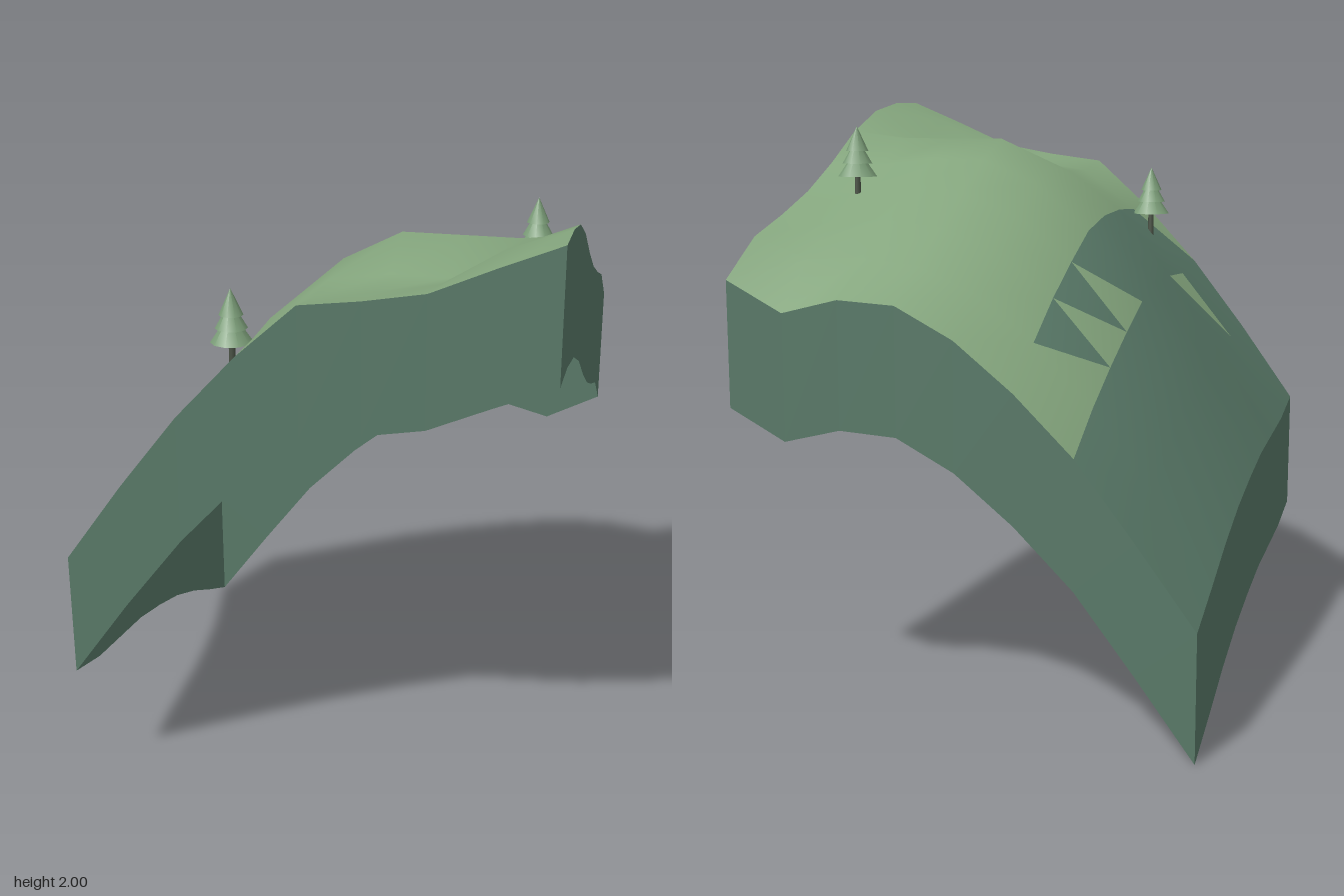
import * as THREE from 'three';

const HALF = 0.785, N = 8, STEP = (2 * HALF) / N, DEPTH = 0.42;

// Ground heights, rows from back to front, columns from -x to +x
const HEIGHTS = [
  [0.42, 0.68, 0.93, 1.12, 1.275, 1.375, 1.385, 1.335, 1.435],
  [0.505, 0.79, 1.05, 1.25, 1.40, 1.48, 1.50, 1.49, 1.56],
  [0.595, 0.89, 1.15, 1.37, 1.52, 1.59, 1.61, 1.60, 1.62],
  [0.67, 0.97, 1.24, 1.47, 1.62, 1.70, 1.72, 1.69, 1.69],
  [0.725, 1.03, 1.32, 1.56, 1.72, 1.80, 1.80, 1.78, 1.785],
  [0.77, 1.07, 1.36, 1.60, 1.77, 1.87, 1.87, 1.87, 1.895],
  [0.795, 1.09, 1.37, 1.61, 1.75, 1.78, 1.78, 1.86, 1.97],
  [0.82, 1.12, 1.36, 1.60, 1.745, 1.775, 1.81, 1.93, 2.0],
  [0.87, 1.14, 1.39, 1.60, 1.775, 1.80, 1.835, 1.92, 2.0],
];

const material = (name, color, side = THREE.FrontSide) => {
  const m = new THREE.MeshStandardMaterial({ color, side });
  m.name = name;
  return m;
};

const named = (name, geometry, mat) => {
  const mesh = new THREE.Mesh(geometry, mat);
  mesh.name = name;
  return mesh;
};

const gridPoint = (i, j) => [-HALF + i * STEP, HEIGHTS[j][i], -HALF + j * STEP];

// Steep faces are dark; half is 0 for the back-left triangle, 1 for the front-right
function isSteep(i, j, half) {
  if (i === 1 && j === 6) return half === 0;
  if (i < 2) return true;
  if (i > 2 || j === 0) return false;
  if (j < 4) return half === 1;
  return !(j === 7 && half === 1);
}

// Smooth terrain sheet with one material group for each colour
function groundGeometry() {
  const positions = [], grass = [], steep = [];
  for (let j = 0; j <= N; j++) {
    for (let i = 0; i <= N; i++) positions.push(...gridPoint(i, j));
  }
  for (let j = 0; j < N; j++) {
    for (let i = 0; i < N; i++) {
      const a = j * (N + 1) + i, b = a + N + 1, c = b + 1, d = a + 1;
      (isSteep(i, j, 0) ? steep : grass).push(a, b, d);
      (isSteep(i, j, 1) ? steep : grass).push(b, c, d);
    }
  }
  const g = new THREE.BufferGeometry();
  g.setAttribute('position', new THREE.Float32BufferAttribute(positions, 3));
  g.setIndex([...grass, ...steep]);
  g.addGroup(0, grass.length, 0);
  g.addGroup(grass.length, steep.length, 1);
  g.computeVertexNormals();
  return g;
}

// Vertical strip hanging from one edge of the ground
function skirtGeometry(edge) {
  const positions = [], index = [];
  for (let k = 0; k <= N; k++) {
    const [x, y, z] = edge(k);
    positions.push(x, y, z, x, y - DEPTH, z);
    if (k < N) {
      const a = 2 * k;
      index.push(a, a + 1, a + 2, a + 1, a + 3, a + 2);
    }
  }
  const g = new THREE.BufferGeometry();
  g.setAttribute('position', new THREE.Float32BufferAttribute(positions, 3));
  g.setIndex(index);
  g.computeVertexNormals();
  return g;
}

// Small conifer with three overlapping tiers
function makeTree(foliage, bark) {
  const tree = new THREE.Group();
  tree.name = 'tree';
  const trunk = named('trunk', new THREE.CylinderGeometry(0.01, 0.012, 0.13, 8), bark);
  trunk.position.y = 0.015;
  tree.add(trunk);
  const tiers = [[0.055, 0.068, 0.10], [0.10, 0.052, 0.09], [0.143, 0.039, 0.085]];
  for (const [y, radius, height] of tiers) {
    const tier = named('foliageTier', new THREE.ConeGeometry(radius, height, 10), foliage);
    tier.position.y = y + height / 2;
    tree.add(tier);
  }
  return tree;
}

export function createModel() {
  const grass = material('grass green', 0x84a57d, THREE.DoubleSide);
  const slope = material('slope green', 0x587867, THREE.DoubleSide);
  const foliage = material('foliage green', 0x7b9d78);
  const bark = material('bark', 0x4a5245);

  const model = new THREE.Group();
  model.name = 'hillside';
  model.add(named('ground', groundGeometry(), [grass, slope]));

  // Edges run anticlockwise seen from above, so the strips face outwards
  const edges = {
    frontSkirt: (k) => gridPoint(k, N),
    leftSkirt: (k) => gridPoint(N, N - k),
    backSkirt: (k) => gridPoint(N - k, 0),
    rightSkirt: (k) => gridPoint(0, k),
  };
  for (const [name, edge] of Object.entries(edges)) {
    model.add(named(name, skirtGeometry(edge), slope));
  }

  // Trees
  for (const [x, y, z] of [[-0.265, 1.53, 0.59], [0.588, 1.69, -0.2]]) {
    const tree = makeTree(foliage, bark);
    tree.position.set(x, y, z);
    model.add(tree);
  }
  return model;
}
